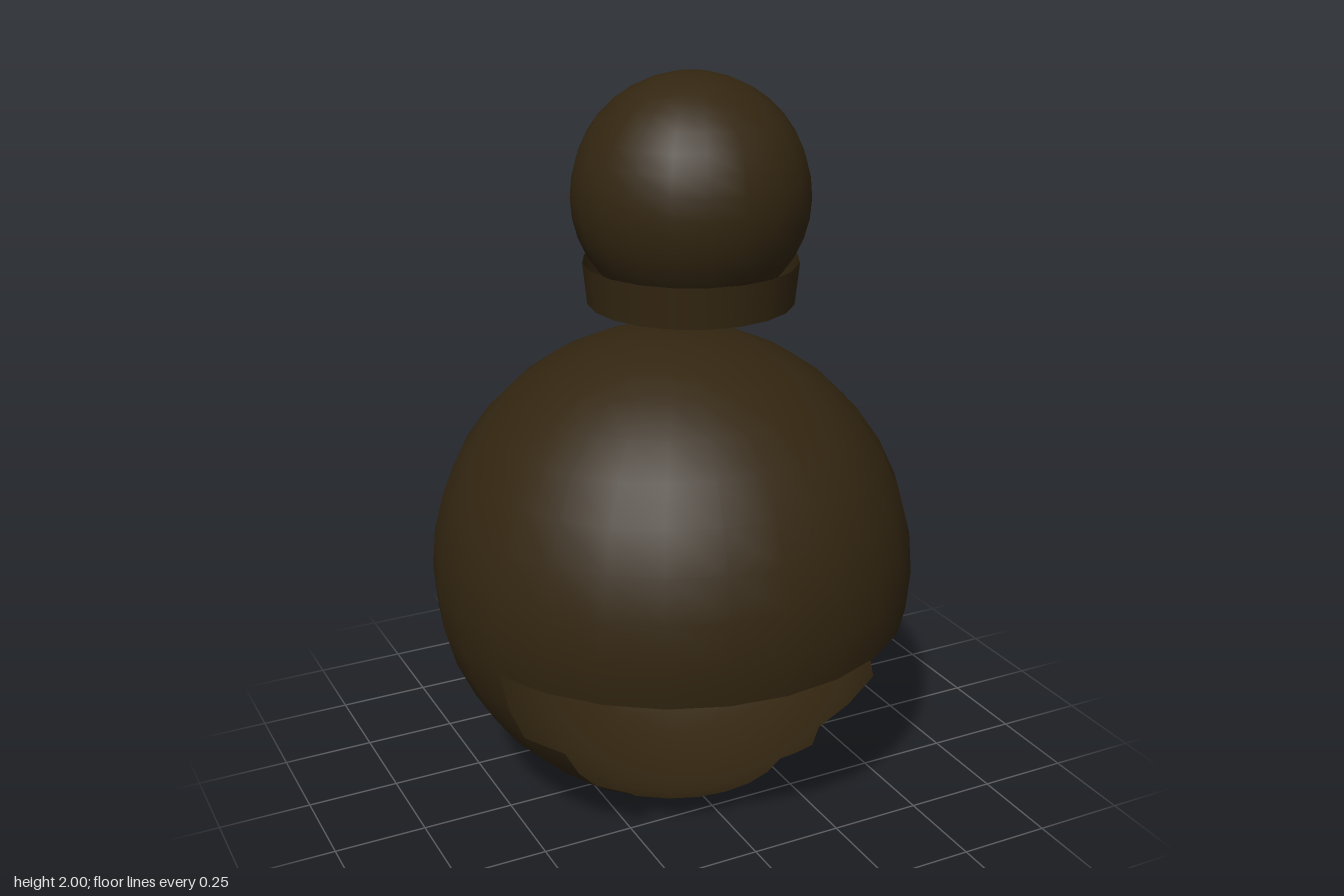
import * as THREE from 'three';

export function createModel() {
  const model = new THREE.Group();
  const darkBrown = new THREE.MeshStandardMaterial({ color: 0x332611, side: THREE.DoubleSide });
  darkBrown.name = 'darkBrown';

  const add = (parent, name, geometry, x = 0, y = 0, z = 0) => {
    const mesh = new THREE.Mesh(geometry, darkBrown);
    mesh.name = name;
    mesh.position.set(x, y, z);
    parent.add(mesh);
  };

  // Hollow body: bands of one sphere, each leaving out a number of facets either side of the front
  const sides = 26, rows = 18, radius = 0.655;
  const step = (Math.PI * 2) / sides, rowStep = Math.PI / rows;
  const body = new THREE.Group();
  body.name = 'body';
  body.position.y = 0.656;
  const bands = [
    // name, first row, row count, facets open on each side of the front
    ['bodyDome', 0, 10, 0],
    ['openingUpperBand', 10, 2, 5],
    ['openingMiddleBand', 12, 2, 4],
    ['openingLowerBand', 14, 1, 3],
    ['bodyBase', 15, 3, 0],
  ];
  for (const [name, row, count, open] of bands) {
    add(body, name, new THREE.SphereGeometry(
      radius, sides - 2 * open, count,
      Math.PI / 2 + open * step, (sides - 2 * open) * step,
      row * rowStep, count * rowStep));
  }
  model.add(body);

  // Floating head, set slightly forward
  add(model, 'head', new THREE.SphereGeometry(0.304, 20, 18), 0, 1.697, 0.106);

  // Loose open collar around the bottom of the head
  add(model, 'collar', new THREE.CylinderGeometry(0.277, 0.266, 0.107, 20, 1, true), 0, 1.476, 0.108);

  return model;
}
